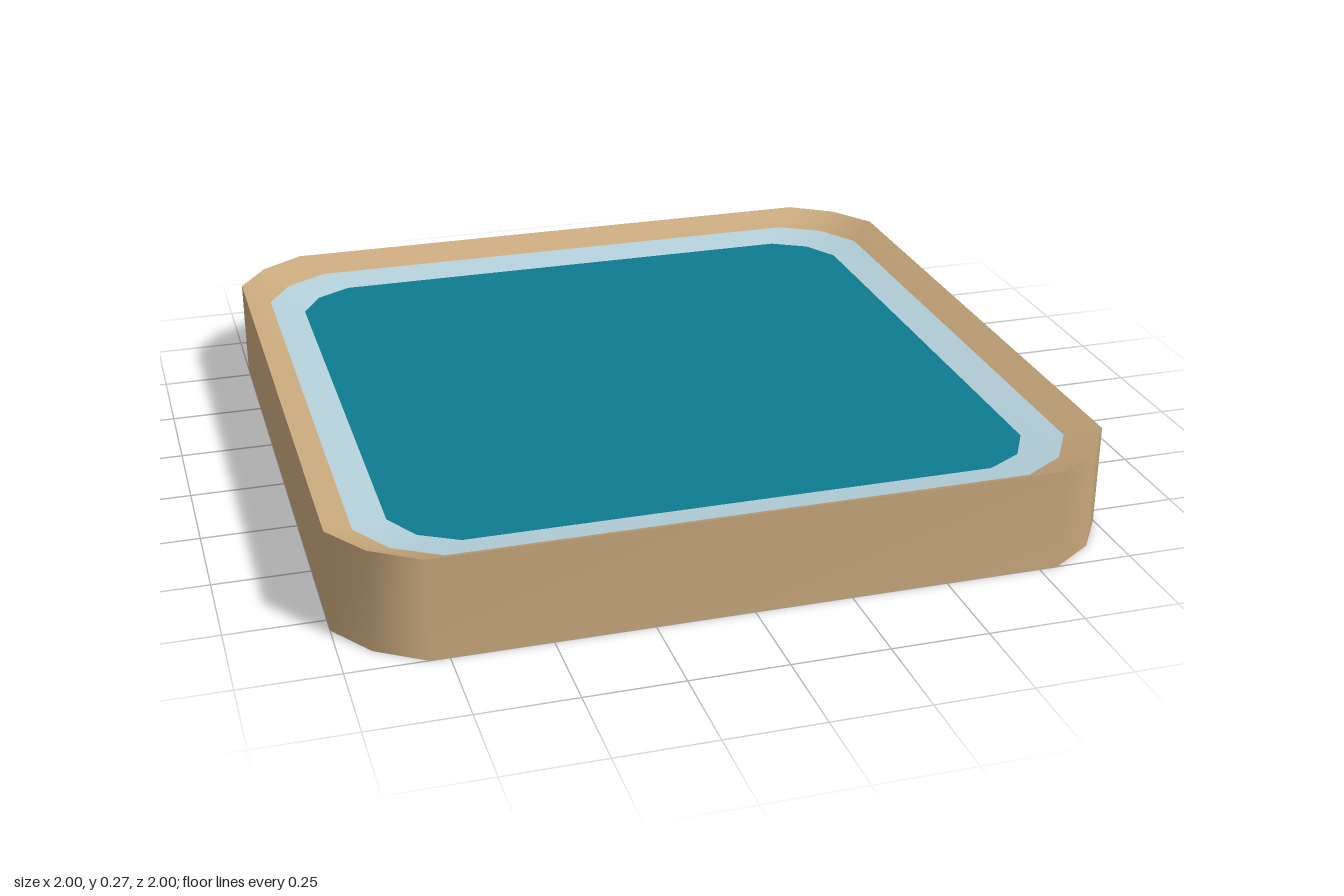
import * as THREE from 'three';

// Outline of a square with faceted corners: half size, corner start, corner middle
function outline(half, start, mid) {
  const corner = [[half, start], [mid, mid], [start, half]];
  const points = [];
  for (let q = 0; q < 4; q++) {
    for (const [x, y] of corner) {
      points.push(new THREE.Vector2(x, y).rotateAround(new THREE.Vector2(), q * Math.PI / 2));
    }
  }
  return points;
}

// Band of quads joining two outlines at two heights, smooth around the corners
function band(from, y0, to, y1) {
  const n = from.length;
  const positions = [];
  const index = [];
  for (const p of from) positions.push(p.x, y0, -p.y);
  for (const p of to) positions.push(p.x, y1, -p.y);
  for (let i = 0; i < n; i++) {
    const j = (i + 1) % n;
    index.push(i, j, n + j, i, n + j, n + i);
  }
  const geometry = new THREE.BufferGeometry();
  geometry.setAttribute('position', new THREE.Float32BufferAttribute(positions, 3));
  geometry.setIndex(index);
  geometry.computeVertexNormals();
  return geometry;
}

// Flat horizontal face filling an outline
function cap(points, y, facing) {
  return new THREE.ShapeGeometry(new THREE.Shape(points))
    .rotateX(-facing * Math.PI / 2)
    .translate(0, y, 0);
}

export function createModel() {
  const model = new THREE.Group();
  model.name = 'pool';
  const stone = new THREE.MeshStandardMaterial({ color: 0xc8a87c });
  const foam = new THREE.MeshStandardMaterial({ color: 0xb4d0da });
  const water = new THREE.MeshStandardMaterial({ color: 0x0e7c90 });

  const outer = outline(1, 0.8, 0.92);
  const shore = outline(0.925, 0.74, 0.855);
  const inner = outline(0.833, 0.68, 0.778);
  const top = 0.267, shoreY = 0.23, waterY = 0.213;

  const add = (name, geometry, material) => {
    const mesh = new THREE.Mesh(geometry, material);
    mesh.name = name;
    model.add(mesh);
  };

  // Stone basin: underside, outer wall and rim sloping inward
  add('underside', cap(outer, 0, -1), stone);
  add('outerWall', band(outer, 0, outer, top), stone);
  add('rim', band(outer, top, shore, shoreY), stone);

  // Pale shallow edge around the water
  add('shallowEdge', band(shore, shoreY, inner, waterY), foam);

  // Water surface
  add('waterSurface', cap(inner, waterY, 1), water);

  return model;
}
